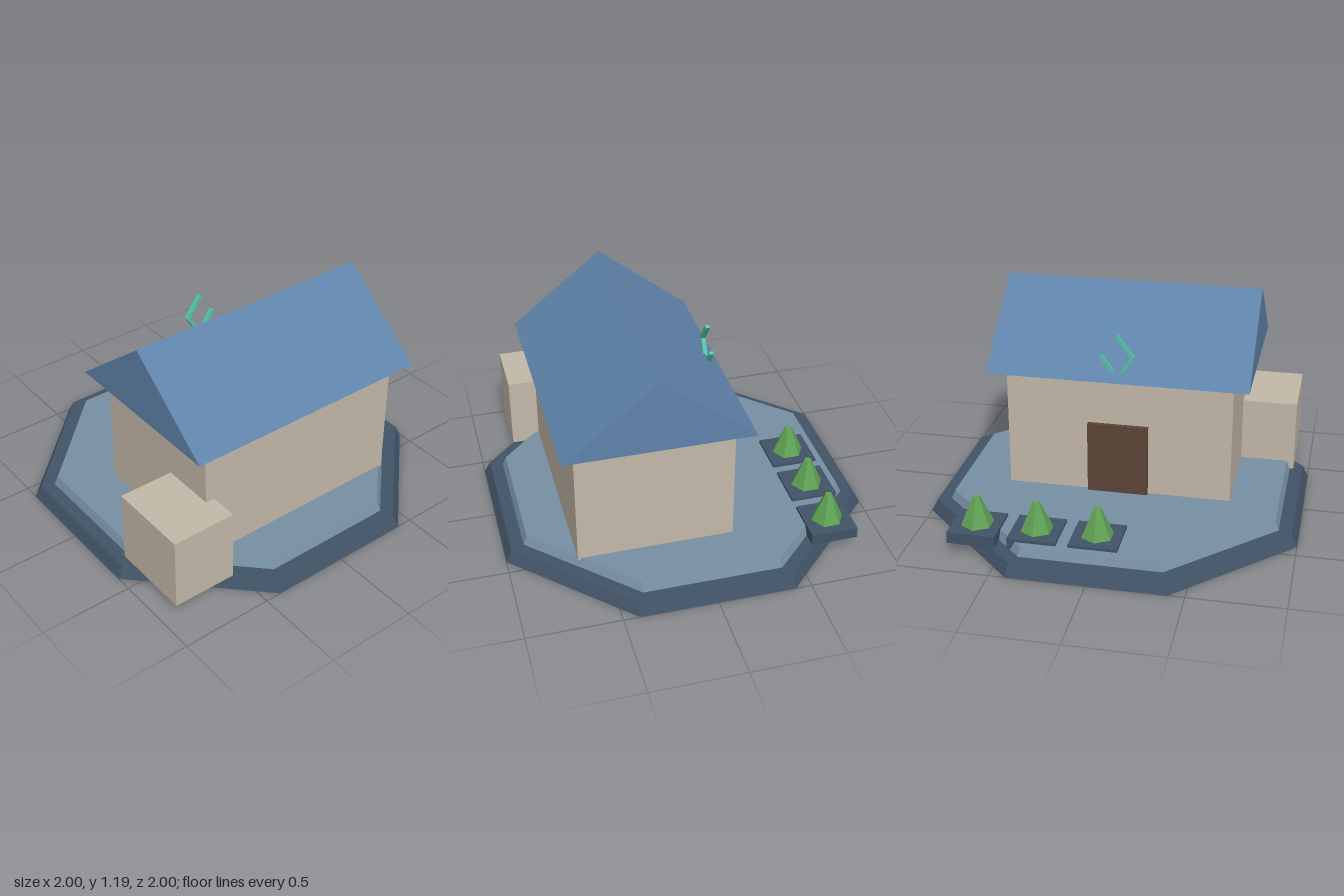
import * as THREE from 'three';

const mat = (name, color) => new THREE.MeshStandardMaterial({ name, color });

export function createModel() {
  const group = new THREE.Group();
  group.name = 'houseOnPlatform';

  const slate = mat('darkSlate', 0x415367);
  const stone = mat('blueGreyStone', 0x778fa3);
  const wall = mat('beigeWall', 0xc3b8a9);
  const roofBlue = mat('roofBlue', 0x5f83aa);
  const wood = mat('brownWood', 0x5c4435);
  const leaf = mat('leafGreen', 0x60a355);
  const teal = mat('teal', 0x56c2aa);

  const add = (name, geometry, material) => {
    const flat = geometry.index ? geometry.toNonIndexed() : geometry;
    flat.computeVertexNormals();
    const mesh = new THREE.Mesh(flat, material);
    mesh.name = name;
    group.add(mesh);
    return mesh;
  };

  // Box given by its lower and upper corners
  const box = (name, material, [x0, y0, z0], [x1, y1, z1]) =>
    add(name, new THREE.BoxGeometry(x1 - x0, y1 - y0, z1 - z0), material)
      .position.set((x0 + x1) / 2, (y0 + y1) / 2, (z0 + z1) / 2);

  // Octagonal layer, sized by the distance from centre to a flat side
  const octagon = (name, material, top, bottom, y0, y1) => {
    const k = 1 / Math.cos(Math.PI / 8);
    const geometry = new THREE.CylinderGeometry(top * k, bottom * k, y1 - y0, 8, 1, false, Math.PI / 8);
    add(name, geometry, material).position.y = (y0 + y1) / 2;
  };

  // Stepped platform
  octagon('platformBase', slate, 0.968, 1, 0, 0.065);
  octagon('platformTop', stone, 0.878, 0.898, 0.065, 0.112);

  // House body, side annex and back door
  box('houseBody', wall, [-0.615, 0.1, -0.19], [0.61, 0.787, 0.65]);
  box('annex', wall, [-0.918, 0.065, 0.352], [-0.565, 0.47, 0.805]);
  box('door', wood, [-0.165, 0.112, -0.215], [0.165, 0.512, -0.18]);

  // Gable roof, extruded along x
  const gable = new THREE.Shape([
    new THREE.Vector2(-0.725, 0.787),
    new THREE.Vector2(0.278, 0.787),
    new THREE.Vector2(-0.225, 1.187),
  ]);
  const roofGeometry = new THREE.ExtrudeGeometry(gable, { depth: 1.405, bevelEnabled: false });
  roofGeometry.rotateY(Math.PI / 2);
  add('roof', roofGeometry, roofBlue).position.x = -0.705;

  // Thin open-diamond ornament on the back slope
  const bars = [
    [[0.083, 0.91], [0.003, 0.795]],
    [[0, 1.026], [-0.083, 0.915]],
    [[-0.083, 0.915], [-0.003, 0.795]],
  ];
  for (const [[ax, ay], [bx, by]] of bars) {
    const length = Math.hypot(bx - ax, by - ay);
    const bar = add('ornamentBar', new THREE.BoxGeometry(0.018, length + 0.01, 0.025), teal);
    bar.position.set((ax + bx) / 2, (ay + by) / 2, -0.212);
    bar.rotation.z = Math.atan2(ax - bx, by - ay);
  }

  // Row of small trees on square pads
  for (const x of [0, 0.32, 0.64]) {
    box('treePad', slate, [x - 0.128, 0.065, -0.838], [x + 0.128, 0.127, -0.583]);
    add('tree', new THREE.CylinderGeometry(0.019, 0.088, 0.16, 6), leaf).position.set(x, 0.206, -0.71);
  }

  return group;
}
